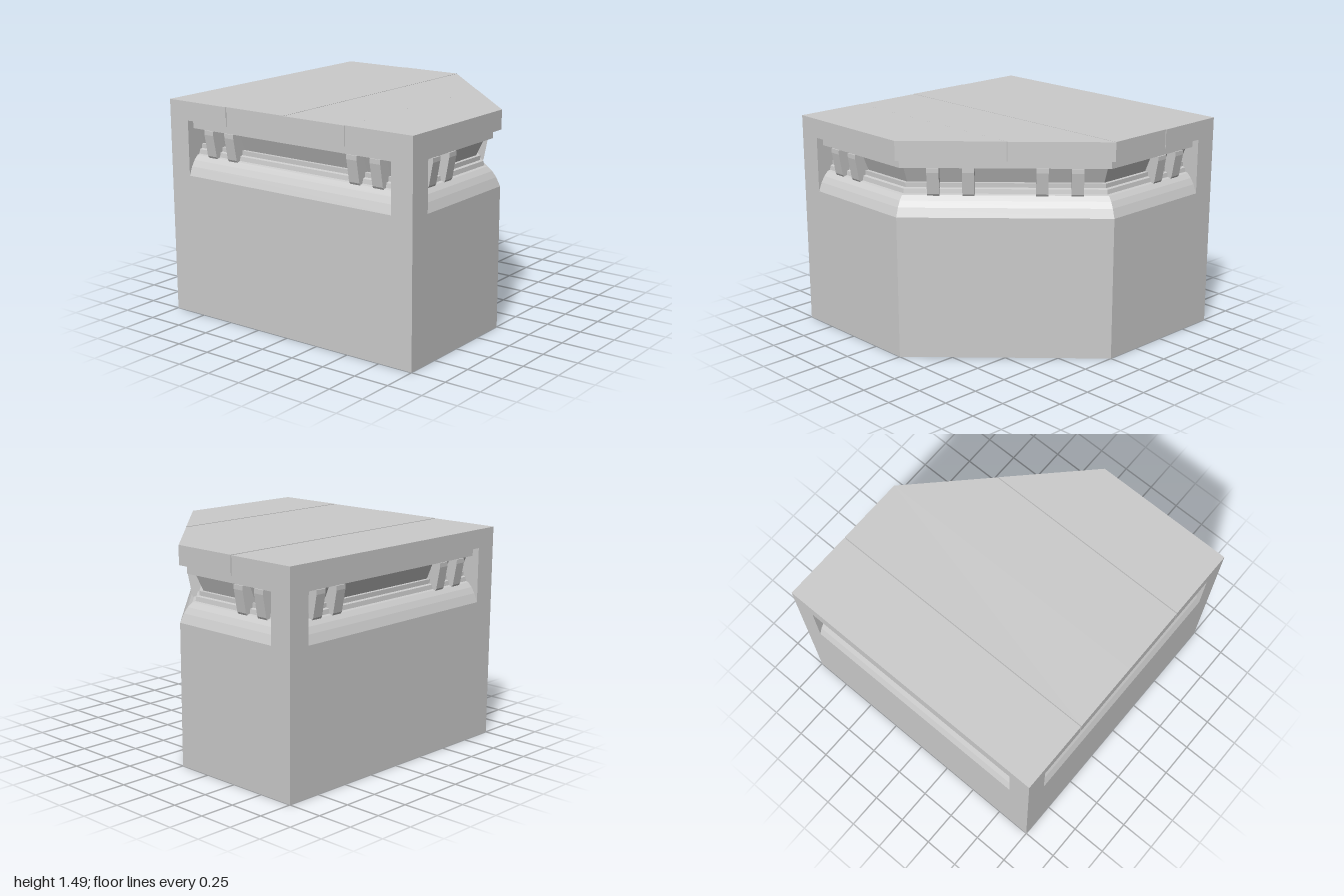
import * as THREE from 'three';

const material = new THREE.MeshStandardMaterial({ color: 0xcccccc, flatShading: true });

// Five-sided plan, moved inward by d; corners as [x, z]
const plan = (d) => [
  [-1 + d, -1 + d], [-0.414 * d, -1 + d], [1 - d, 0.414 * d], [1 - d, 1 - d], [-1 + d, 1 - d],
];

// Upright prism from an [x, z] outline
function prism(outline, y0, y1) {
  const shape = new THREE.Shape(outline.map(([x, z]) => new THREE.Vector2(x, -z)));
  const geometry = new THREE.ExtrudeGeometry(shape, { depth: y1 - y0, bevelEnabled: false });
  return geometry.rotateX(-Math.PI / 2).translate(0, y0, 0);
}

// Band of walls following a [inset, height] profile around the plan
function band(profile) {
  const positions = [];
  for (let k = 0; k < profile.length - 1; k++) {
    const [d0, y0] = profile[k], [d1, y1] = profile[k + 1];
    const low = plan(d0), high = plan(d1);
    for (let i = 0; i < low.length; i++) {
      const j = (i + 1) % low.length;
      const a = [low[i][0], y0, low[i][1]], b = [low[j][0], y0, low[j][1]];
      const c = [high[j][0], y1, high[j][1]], e = [high[i][0], y1, high[i][1]];
      positions.push(...a, ...e, ...c, ...a, ...c, ...b);
    }
  }
  const geometry = new THREE.BufferGeometry();
  geometry.setAttribute('position', new THREE.Float32BufferAttribute(positions, 3));
  geometry.computeVertexNormals();
  return geometry;
}

// Window post; local z = 0 is the wall face, z points outward
function postGeometry() {
  const shape = new THREE.Shape([
    [-0.04, 1.3], [-0.17, 1.3], [-0.17, 1.1], [-0.08, 1.1], [-0.068, 1.12], [-0.04, 1.27],
  ].map(([z, y]) => new THREE.Vector2(z, y)));
  const geometry = new THREE.ExtrudeGeometry(shape, { depth: 0.08, bevelEnabled: false });
  return geometry.translate(0, 0, -0.04).rotateY(-Math.PI / 2);
}

export function createModel() {
  const model = new THREE.Group();
  model.name = 'bunker';
  const add = (name, geometry, parent = model) => {
    const mesh = new THREE.Mesh(geometry, material);
    mesh.name = name;
    parent.add(mesh);
    return mesh;
  };

  // Solid lower walls, then rounded sill, stepped frame, leaning window and lintel
  add('lowerWalls', prism(plan(0), 0, 0.98));
  add('sill', band([[0, 0.98], [0.025, 1.04], [0.05, 1.08], [0.08, 1.11], [0.1, 1.115]]));
  add('windowFrame', band([[0.1, 1.115], [0.105, 1.145], [0.125, 1.15], [0.125, 1.18], [0.15, 1.18]]));
  add('windowBand', band([[0.15, 1.18], [0.1, 1.3]]));
  add('lintel', band([[0.1, 1.3], [0.05, 1.3], [0.05, 1.36]]));

  // Pillars at the three square corners
  for (const [x, z] of [[-1, -1], [-1, 1], [1, 1]]) {
    const pillar = add('cornerPillar', new THREE.BoxGeometry(0.16, 0.38, 0.16));
    pillar.position.set(x * 0.92, 1.17, z * 0.92);
  }

  // Posts in pairs on every wall
  const post = postGeometry();
  const walls = [
    { name: 'frontPosts', x: 0, z: 1, turn: 0, at: [-0.69, -0.51, 0.51, 0.69] },
    { name: 'rightPosts', x: -1, z: 0, turn: -Math.PI / 2, at: [-0.69, -0.51, 0.51, 0.69] },
    { name: 'backPosts', x: 0, z: -1, turn: Math.PI, at: [0.51, 0.69] },
    { name: 'leftPosts', x: 1, z: 0, turn: Math.PI / 2, at: [-0.69, -0.51] },
    { name: 'diagonalPosts', x: 0.5, z: -0.5, turn: Math.PI * 0.75, at: [-0.47, -0.24, 0.24, 0.47] },
  ];
  for (const wall of walls) {
    const group = new THREE.Group();
    group.name = wall.name;
    group.position.set(wall.x, 0, wall.z);
    group.rotation.y = wall.turn;
    for (const x of wall.at) add('post', post, group).position.x = x;
    model.add(group);
  }

  // Roof slabs with narrow seams, back edge cut along the diagonal
  const backEdge = (x) => Math.max(-1, x - 1);
  const slabs = [[-1, -0.494, 1.49], [-0.488, 0, 1.492], [0, 0.488, 1.49], [0.494, 1, 1.492]];
  for (const [x0, x1, top] of slabs) {
    add('roofSlab', prism([[x0, backEdge(x0)], [x1, backEdge(x1)], [x1, 1], [x0, 1]], 1.36, top));
  }
  return model;
}
